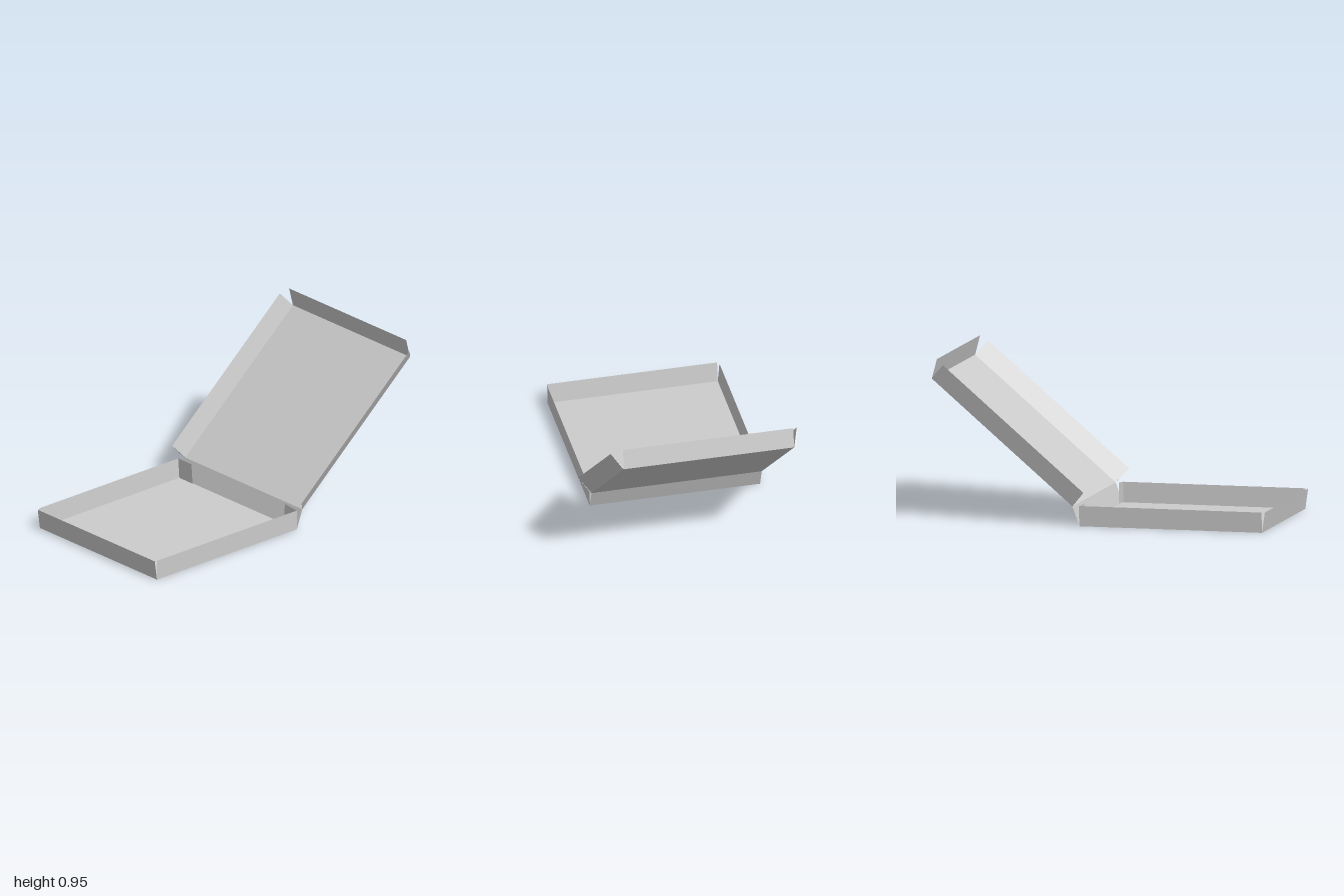
import * as THREE from 'three';

const card = new THREE.MeshStandardMaterial({ color: 0xcccccc, side: THREE.DoubleSide });
card.name = 'greyCard';

// Thin sheet of card from its corners, listed in order round the edge
function sheet(name, ...corners) {
  const geometry = new THREE.BufferGeometry();
  geometry.setAttribute('position', new THREE.Float32BufferAttribute(corners.flat(), 3));
  geometry.setIndex(corners.length === 4 ? [0, 1, 2, 0, 2, 3] : [0, 1, 2]);
  const flat = geometry.toNonIndexed();
  flat.computeVertexNormals();
  const mesh = new THREE.Mesh(flat, card);
  mesh.name = name;
  return mesh;
}

export function createModel() {
  const box = new THREE.Group();
  box.name = 'openCardboardBox';
  const R = -0.525, L = 0.49;      // side folds
  const H = 0.12;                  // wall height
  const back = -0.115, front = 0.98;
  const hinge = { y: 0.115, z: -0.157 }, tip = { y: 0.835, z: -1.0 };

  // Tray
  const tray = new THREE.Group();
  tray.name = 'tray';
  tray.add(
    sheet('floor', [R, 0, front], [L, 0, front], [L, 0, back], [R, 0, back]),
    sheet('frontWall', [R, 0, front], [L, 0, front], [L, H, 0.997], [R, H, 0.997]),
    sheet('rightWall', [R, 0, back], [R, 0, front], [R - 0.01, H, front], [R - 0.01, H, back]),
    sheet('leftWall', [L, 0, front], [L, 0, back], [L + 0.002, H, back], [L + 0.002, H, front]),
    sheet('backWall', [L, 0, back], [R, 0, back], [R, hinge.y, hinge.z], [L, hinge.y, hinge.z]),
    // corner tabs folded in along the back
    sheet('rightCornerTab', [R, 0, back + 0.004], [R + 0.115, 0, back + 0.004],
      [R + 0.105, H, back + 0.004], [R - 0.01, H, back + 0.004]),
    sheet('leftCornerTab', [L, 0, back + 0.004], [L - 0.105, 0.008, back + 0.004],
      [L - 0.1, 0.13, back + 0.004], [L, H, back + 0.004]),
  );
  box.add(tray);

  // Lid, tipped back beyond the hinge
  const lid = new THREE.Group();
  lid.name = 'lid';
  lid.add(
    sheet('lidPanel', [R, hinge.y, hinge.z], [L, hinge.y, hinge.z], [L, tip.y, tip.z], [R, tip.y, tip.z]),
    sheet('lidFrontFlap', [R, tip.y, tip.z], [L, tip.y, tip.z], [L, 0.95, -0.97], [R, 0.95, -0.97]),
  );
  // Side flaps splay by different amounts: fold x, outer x, rise in y and z
  const flaps = [
    ['right', R, -0.557, 0.086, 0.074, -0.018],
    ['left', L, 0.555, 0.075, 0.064, 0.008],
  ];
  for (const [side, fold, outer, dy, dz, tab] of flaps) {
    lid.add(sheet(side + 'LidFlap', [fold, hinge.y, hinge.z], [fold, tip.y, tip.z],
      [outer, tip.y + dy, tip.z + dz], [outer, hinge.y + dy, hinge.z + dz]));
    // slim tabs at both ends of the flap
    for (const end of [hinge, tip]) {
      lid.add(sheet(side + 'LidTab', [fold, end.y, end.z], [outer, end.y + dy, end.z + dz],
        [fold + tab, end.y + 0.006, end.z + 0.005]));
    }
  }
  box.add(lid);
  return box;
}
